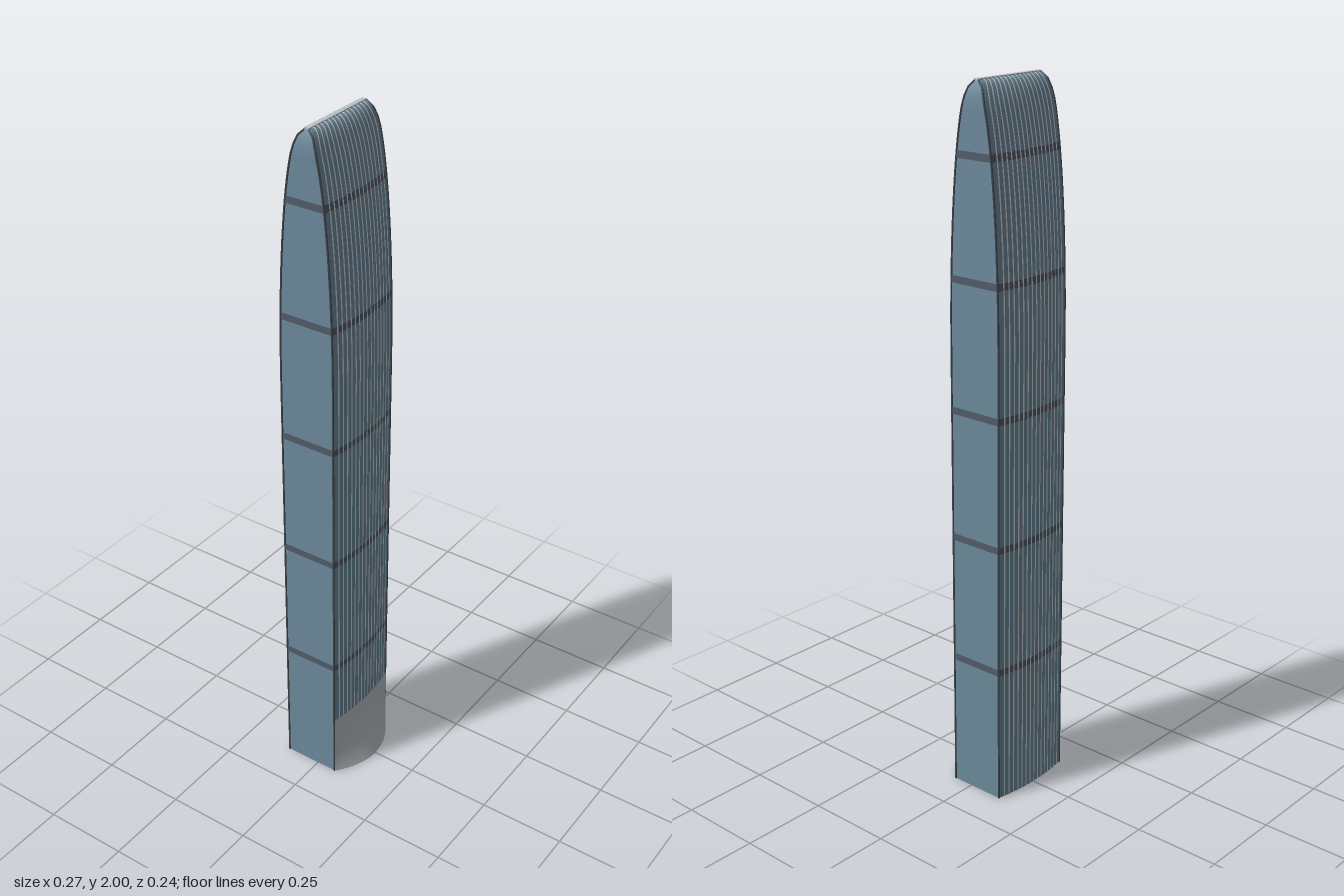
import * as THREE from 'three';

const mat = (name, color) => new THREE.MeshStandardMaterial({ name, color, side: THREE.DoubleSide });

const HEIGHT = 1.996, BEND = 1.3, RISE = HEIGHT - BEND, FAN = 0.2;

// Tower outline: 1 on the straight shaft, falling as a quarter ellipse to 0 at the ridge
const taper = y => y <= BEND ? 1 : Math.sqrt(Math.max(0, 1 - ((y - BEND) / RISE) ** 2));
const halfWidth = y => 0.134 - 0.014 * Math.max(0, (y - 1.93) / (HEIGHT - 1.93)) ** 2;
const edgeDepth = y => 0.006 + 0.0765 * taper(y);

// Point on the bowed front wall, u from -1 to 1 across, pushed out along the profile normal
function wall(u, y, off = 0) {
  const t = taper(y);
  const z = edgeDepth(y) + 0.014 * t * (1 - u * u);
  const ny = y > BEND ? (y - BEND) / RISE ** 2 : 0, nz = t / 0.09;
  const len = Math.hypot(ny, nz);
  return [u * halfWidth(y), y + off * ny / len, z + off * nz / len];
}

// Flared entrance skirt at the foot of the front wall
function skirt(u, y) {
  const p = wall(u, y, 0.003);
  p[2] += 0.04 * (1 - u * u) * (1 - y / FAN) ** 2;
  return p;
}

// Flat end wall on +x
const endWall = (u, y, off = 0) => [halfWidth(y) + off, y, -u * edgeDepth(y)];

// Heights between two levels, closer together where the tower curves
function levels(y0, y1) {
  const all = [0.65, BEND];
  for (let i = 1; i < 28; i++) all.push(BEND + RISE * Math.sin(i / 28 * Math.PI / 2));
  return [y0, ...all.filter(y => y > y0 + 0.001 && y < y1 - 0.001), y1];
}

// Smooth sheet over columns [u, offset] and a list of heights
function sheet(base, cols, ys) {
  const pos = [], idx = [], n = cols.length;
  for (const y of ys) for (const [u, off] of cols) pos.push(...base(u, y, off));
  for (let j = 0; j < ys.length - 1; j++) for (let i = 0; i < n - 1; i++) {
    const a = j * n + i, b = a + 1, c = a + n, d = c + 1;
    idx.push(a, b, d, a, d, c);
  }
  const g = new THREE.BufferGeometry();
  g.setAttribute('position', new THREE.Float32BufferAttribute(pos, 3));
  g.setIndex(idx);
  g.computeVertexNormals();
  return g;
}

const across = (n, off = 0) => Array.from({ length: n + 1 }, (_, i) => [-1 + 2 * i / n, off]);

export function createModel() {
  const glass = mat('blue glass', 0x6c899b);
  const stripe = mat('pale stripe', 0xd2d7db);
  const metal = mat('light metal', 0xb9c1c7);
  const dark = mat('dark metal', 0x41474e);
  const band = mat('slate band', 0x525c6a);

  const model = new THREE.Group();
  model.name = 'tower';
  const add = (parent, name, geo, m) => {
    const mesh = new THREE.Mesh(geo, m);
    mesh.name = name;
    parent.add(mesh);
  };
  const bandLevels = [0.395, 0.76, 1.125, 1.485, 1.81];

  // Front and back: bowed glass, floor bands and thin pale stripes
  for (const [name, turn, foot] of [['front', 0, FAN], ['back', Math.PI, 0]]) {
    const face = new THREE.Group();
    face.name = name + 'Facade';
    face.rotation.y = turn;
    model.add(face);
    add(face, 'glassWall', sheet(wall, across(16), levels(0, HEIGHT)), glass);
    for (const y of bandLevels)
      add(face, 'floorBand', sheet(wall, across(16, 0.0015), [y - 0.01, y + 0.01]), band);
    for (let i = -7; i <= 7; i++) {
      const cols = [[i / 8.1 - 0.016, 0.0022], [i / 8.1 + 0.016, 0.0022]];
      add(face, 'paleStripe', sheet(wall, cols, levels(foot, HEIGHT)), stripe);
    }
  }

  // Flat end walls with bands and dark corner trims
  for (const [name, turn] of [['left', 0], ['right', Math.PI]]) {
    const end = new THREE.Group();
    end.name = name + 'End';
    end.rotation.y = turn;
    model.add(end);
    add(end, 'glassWall', sheet(endWall, across(2), levels(0, HEIGHT)), glass);
    for (const y of bandLevels)
      add(end, 'floorBand', sheet(endWall, across(2, 0.0015), [y - 0.01, y + 0.01]), band);
    for (const s of [-1, 1]) {
      const path = new THREE.CatmullRomCurve3(
        levels(0, HEIGHT).map(y => new THREE.Vector3(...endWall(s, y))));
      add(end, 'cornerTrim', new THREE.TubeGeometry(path, 80, 0.0028, 8), dark);
    }
  }

  // Ridge cap
  const ridge = new THREE.BoxGeometry(0.24, 0.005, 0.014);
  ridge.translate(0, 1.9975, 0);
  add(model, 'ridgeCap', ridge, metal);

  // Entrance skirt
  const skirtYs = Array.from({ length: 11 }, (_, i) => FAN * i / 10);
  add(model, 'entranceSkirt', sheet(skirt, across(24), skirtYs), metal);

  model.children.forEach(c => { c.position.z = -0.0225; });
  return model;
}
